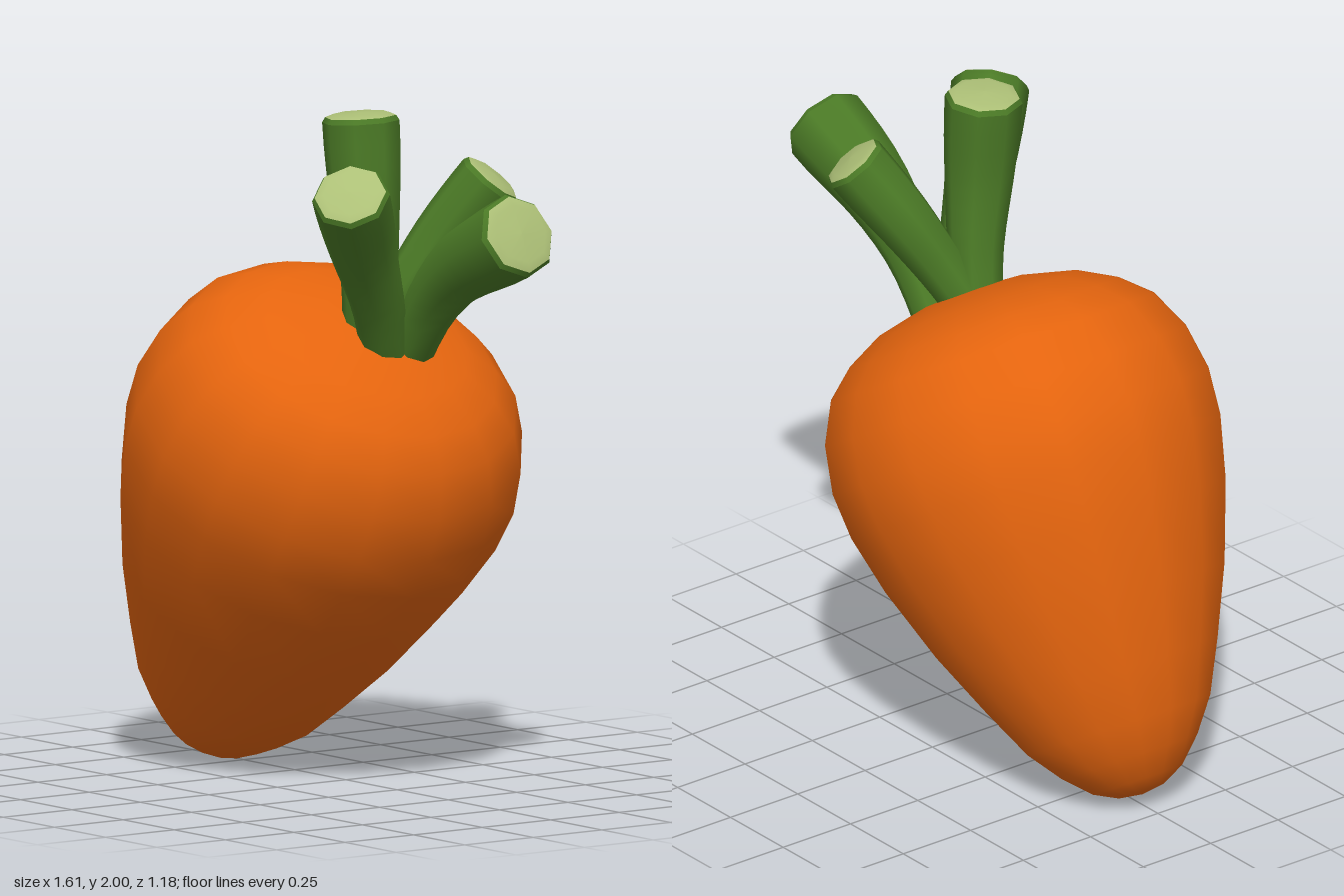
import * as THREE from 'three';

const mat = (name, color, side = THREE.FrontSide) => {
  const m = new THREE.MeshStandardMaterial({ color, side });
  m.name = name;
  return m;
};

export function createModel() {
  const orange = mat('carrot orange', 0xe4640e);
  const green = mat('stem green', 0x4b7a26, THREE.DoubleSide);
  const pale = mat('cut stem pale green', 0xadc077);
  const model = new THREE.Group();
  model.name = 'carrot';

  // Root: a plump profile turned around a leaning axis
  const profile = [
    [0, 0], [0.07, 0.01], [0.14, 0.045], [0.213, 0.117], [0.287, 0.215], [0.363, 0.37],
    [0.453, 0.57], [0.535, 0.8], [0.58, 0.98], [0.591, 1.12], [0.567, 1.26],
    [0.507, 1.38], [0.422, 1.455], [0.31, 1.514], [0.15, 1.552], [0, 1.56],
  ].map(([r, y]) => new THREE.Vector2(r, y));
  const root = new THREE.Mesh(new THREE.LatheGeometry(profile, 16), orange);
  root.name = 'root';
  root.position.set(-0.676, 0.036, 0);
  root.rotation.z = -0.541;
  model.add(root);

  // Stems: curved tubes that widen towards a slightly domed cut end
  const sides = 8, steps = 10;
  function addStem(name, points, r0, r1) {
    const curve = new THREE.CatmullRomCurve3(points.map((p) => new THREE.Vector3(...p)));
    const geo = new THREE.TubeGeometry(curve, steps, 1, sides, false);
    const pos = geo.attributes.position;
    const v = new THREE.Vector3();
    for (let i = 0; i < pos.count; i++) {
      const t = Math.floor(i / (sides + 1)) / steps;
      const c = curve.getPointAt(t);
      const r = r0 + (r1 - r0) * t * t * (3 - 2 * t);
      v.fromBufferAttribute(pos, i).sub(c).multiplyScalar(r).add(c);
      pos.setXYZ(i, v.x, v.y, v.z);
    }
    const stem = new THREE.Group();
    stem.name = name;
    const stalk = new THREE.Mesh(geo, green);
    stalk.name = 'stalk';

    // The end shares the frame of the last tube ring
    const frames = curve.computeFrenetFrames(steps, false);
    const n = frames.normals[steps], t = frames.tangents[steps];
    const basis = new THREE.Matrix4().makeBasis(n, t, n.clone().cross(t));
    const end = new THREE.Group();
    end.name = 'stemEnd';
    end.position.copy(curve.getPointAt(1));
    end.quaternion.setFromRotationMatrix(basis);
    const turned = (pts) => new THREE.LatheGeometry(pts.map(([x, y]) => new THREE.Vector2(x, y)), sides);
    const rim = new THREE.Mesh(turned([[r1, 0], [r1 * 0.92, 0.015]]), green);
    rim.name = 'rim';
    const cut = new THREE.Mesh(turned([[r1 * 0.92, 0.015], [r1 * 0.7, 0.024], [0, 0.028]]), pale);
    cut.name = 'cutFace';
    end.add(rim, cut);
    stem.add(stalk, end);
    model.add(stem);
  }
  addStem('uprightStem', [[0.1, 1.3, 0], [0.14, 1.5, 0.02], [0.155, 1.72, 0.045], [0.14, 1.97, 0.05]], 0.075, 0.115);
  addStem('frontStem', [[0.19, 1.29, 0], [0.25, 1.44, 0.07], [0.33, 1.61, 0.18], [0.46, 1.805, 0.325]], 0.072, 0.115);
  addStem('leftStem', [[0.2, 1.28, -0.08], [0.33, 1.45, -0.075], [0.5, 1.58, -0.07], [0.74, 1.69, -0.07]], 0.07, 0.128);
  addStem('backStem', [[0.11, 1.32, -0.02], [0.17, 1.46, -0.09], [0.23, 1.61, -0.175], [0.325, 1.785, -0.28]], 0.072, 0.1);
  return model;
}
